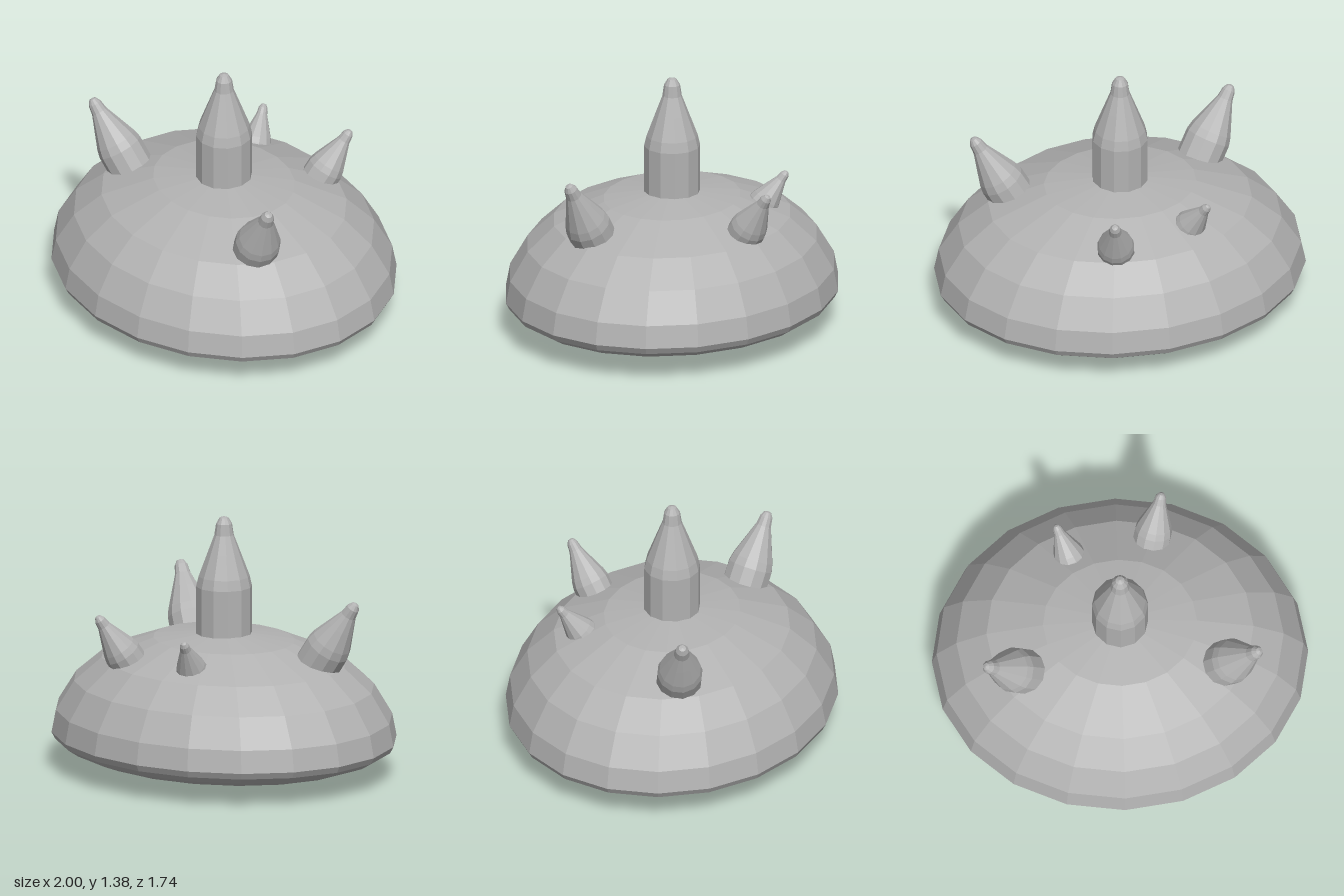
import * as THREE from 'three';

const lathe = (points, sides) =>
  new THREE.LatheGeometry(points.map(([r, y]) => new THREE.Vector2(r, y)), sides);

export function createModel() {
  const model = new THREE.Group();
  const shellGrey = new THREE.MeshStandardMaterial({ color: 0xb2b2b2, flatShading: true });
  shellGrey.name = 'shellGrey';

  // Oval domed body with a shallow pointed underside
  const body = new THREE.Mesh(lathe([
    [0, 0], [0.81, 0.088], [0.92, 0.125], [0.98, 0.16], [1, 0.195],
    [0.975, 0.315], [0.87, 0.475], [0.71, 0.605], [0.41, 0.715], [0, 0.765],
  ], 20), shellGrey);
  body.name = 'body';
  body.scale.z = 0.87;
  model.add(body);

  // Spike profile: straight root, shoulder, narrow neck and rounded tip at the origin
  const spikeGeometry = lathe([
    [0.15, -0.68], [0.15, -0.38], [0.137, -0.325], [0.09, -0.2], [0.052, -0.1],
    [0.043, -0.04], [0.024, -0.008], [0, 0],
  ], 12);

  // Each spike runs from a point on the dome to its tip
  const up = new THREE.Vector3(0, 1, 0);
  const addSpike = (name, root, tip, radius) => {
    const spike = new THREE.Mesh(spikeGeometry, shellGrey);
    const end = new THREE.Vector3(...tip);
    const direction = end.clone().sub(new THREE.Vector3(...root)).normalize();
    spike.name = name;
    spike.position.copy(end);
    spike.quaternion.setFromUnitVectors(up, direction);
    spike.scale.setScalar(radius / 0.15);
    model.add(spike);
  };
  addSpike('centreSpike', [0, 0.7, 0], [0, 1.38, 0], 0.15);
  addSpike('frontRightSpike', [-0.52, 0.64, 0.23], [-0.725, 0.99, 0.325], 0.122);
  addSpike('frontLeftSpike', [0.54, 0.62, 0.215], [0.735, 0.97, 0.275], 0.122);
  addSpike('backLeftSpike', [0.185, 0.63, -0.505], [0.242, 0.885, -0.665], 0.1);
  addSpike('backRightSpike', [-0.265, 0.67, -0.43], [-0.325, 0.822, -0.525], 0.085);

  return model;
}
